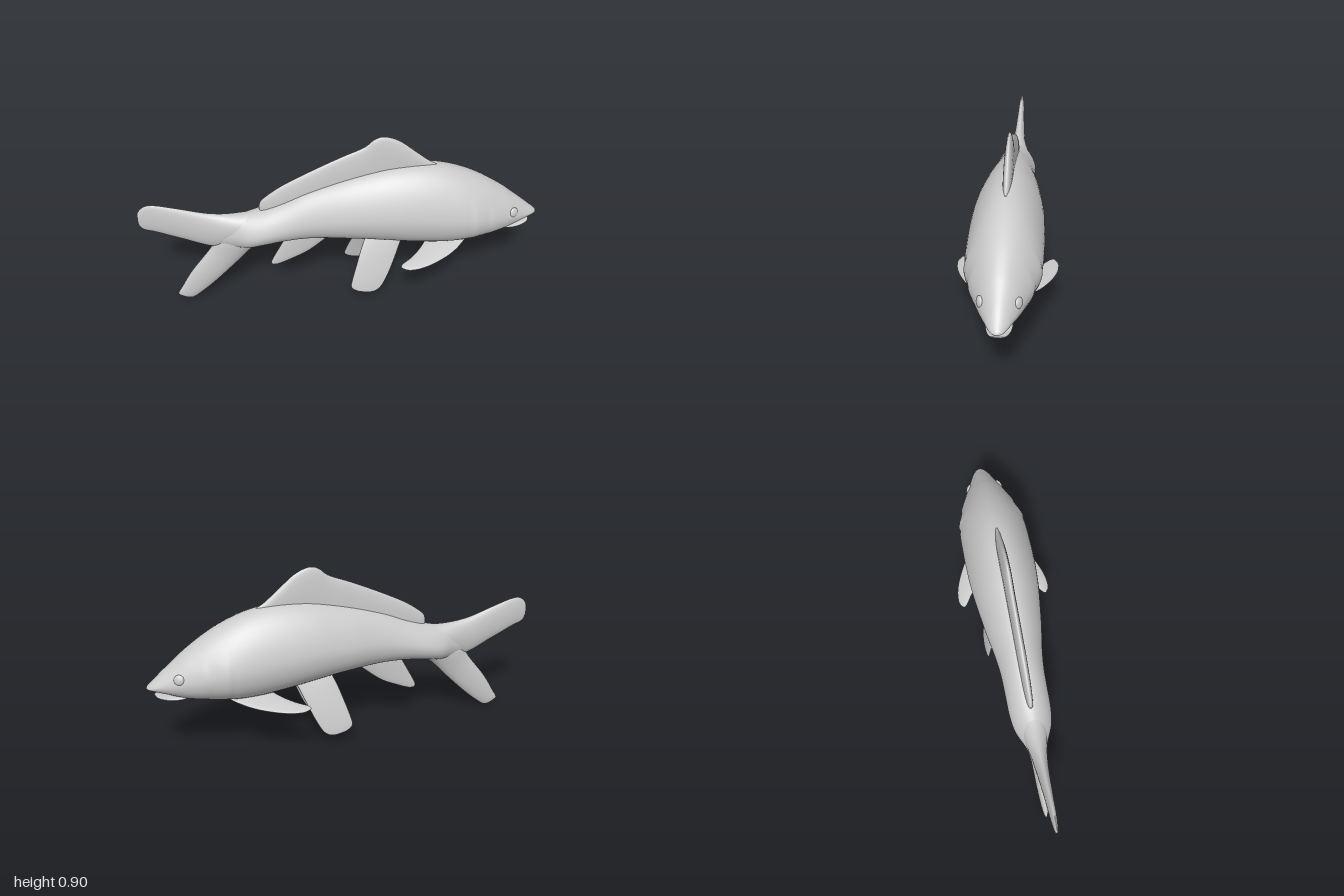
import * as THREE from 'three';

const grey = new THREE.MeshStandardMaterial({ color: 0xcccccc, roughness: 0.8, side: THREE.DoubleSide });
const smooth = THREE.MathUtils.smoothstep;

// Lofts oval sections between two edge curves A and B lying in the xy plane.
// Each station is [ax, ay, bx, by, half thickness].
function loft(name, stations, { steps = 40, sides = 28, shape, place } = {}) {
  const A = new THREE.CatmullRomCurve3(stations.map(s => new THREE.Vector3(s[0], s[1], s[4])), false, 'catmullrom', 0.5);
  const B = new THREE.CatmullRomCurve3(stations.map(s => new THREE.Vector3(s[2], s[3], 0)), false, 'catmullrom', 0.5);
  const pos = [], index = [], p = new THREE.Vector3();
  for (let i = 0; i <= steps; i++) {
    const a = A.getPoint(i / steps), b = B.getPoint(i / steps);
    for (let j = 0; j < sides; j++) {
      const th = (j / sides) * Math.PI * 2;
      let v = Math.cos(th), w = Math.sin(th);
      if (shape) [v, w] = shape(v, w, (a.x + b.x) / 2);
      const k = (1 + v) / 2;
      p.set(b.x + (a.x - b.x) * k, b.y + (a.y - b.y) * k, Math.max(a.z, 0) * w);
      if (place) place(p);
      pos.push(p.x, p.y, p.z);
    }
  }
  // keep faces outward whichever way the stations run
  const m = stations[stations.length >> 1], n = stations[(stations.length >> 1) - 1];
  const tx = m[0] + m[2] - n[0] - n[2], ty = m[1] + m[3] - n[1] - n[3];
  const outward = (m[0] - m[2]) * ty - (m[1] - m[3]) * tx > 0;
  for (let i = 0; i < steps; i++) for (let j = 0; j < sides; j++) {
    const q = i * sides + j, r = i * sides + (j + 1) % sides, s = q + sides, t = r + sides;
    if (outward) index.push(q, s, r, r, s, t);
    else index.push(q, r, s, r, t, s);
  }
  const g = new THREE.BufferGeometry();
  g.setAttribute('position', new THREE.Float32BufferAttribute(pos, 3));
  g.setIndex(index);
  g.computeVertexNormals();
  const mesh = new THREE.Mesh(g, grey);
  mesh.name = name;
  return mesh;
}

// Upright sections: [x, top, bottom, half width]
const upright = rows => rows.map(([x, top, bottom, w]) => [x, top, x, bottom, w]);

// Pear-shaped body section with raised gill-cover edges on the cheeks
function bodySection(v, w, x) {
  const cheek = smooth(0.9 - Math.abs(v + 0.1), 0.1, 0.6);
  const gill = smooth(x, 0.615, 0.635) * (1 - smooth(x, 0.64, 0.72))
    + 0.8 * smooth(x, 0.715, 0.735) * (1 - smooth(x, 0.74, 0.82));
  return [v - 0.12 * (1 - v * v), w * (1 - 0.12 * Math.max(v, 0)) * (1 + 0.04 * gill * cheek)];
}

export function createModel() {
  const fish = new THREE.Group();
  fish.name = 'fish';

  // Body from snout to tail root
  fish.add(loft('body', upright([
    [1, 0.405, 0.401, 0], [0.99, 0.418, 0.395, 0.022], [0.96, 0.443, 0.385, 0.043],
    [0.92, 0.478, 0.37, 0.062], [0.86, 0.527, 0.348, 0.09], [0.8, 0.575, 0.33, 0.115],
    [0.7, 0.64, 0.313, 0.15], [0.6, 0.69, 0.3, 0.172], [0.5, 0.725, 0.297, 0.176],
    [0.4, 0.742, 0.305, 0.176], [0.3, 0.744, 0.318, 0.173], [0.2, 0.735, 0.333, 0.165],
    [0.1, 0.715, 0.346, 0.152], [0, 0.69, 0.356, 0.138], [-0.1, 0.66, 0.364, 0.12],
    [-0.2, 0.625, 0.367, 0.108], [-0.3, 0.58, 0.363, 0.105], [-0.4, 0.543, 0.35, 0.103],
    [-0.48, 0.522, 0.335, 0.09], [-0.56, 0.51, 0.335, 0.055], [-0.64, 0.47, 0.35, 0.025],
    [-0.68, 0.41, 0.39, 0],
  ]), { steps: 168, sides: 48, shape: bodySection }));

  // Lower jaw, leaving the mouth slightly open
  fish.add(loft('lowerJaw', upright([
    [0.967, 0.368, 0.364, 0], [0.95, 0.366, 0.35, 0.034], [0.9, 0.357, 0.337, 0.053],
    [0.84, 0.365, 0.331, 0.058], [0.76, 0.38, 0.335, 0.04],
  ])));

  // Forked tail
  fish.add(loft('upperTailLobe', [
    [-0.36, 0.545, -0.36, 0.42, 0.05], [-0.5, 0.522, -0.5, 0.38, 0.06], [-0.65, 0.535, -0.64, 0.337, 0.036],
    [-0.8, 0.58, -0.8, 0.4, 0.023], [-0.9, 0.609, -0.92, 0.453, 0.017], [-0.955, 0.612, -0.978, 0.475, 0.012],
    [-0.993, 0.58, -0.998, 0.505, 0.007], [-1, 0.542, -1, 0.54, 0],
  ], { steps: 56 }));
  fish.add(loft('lowerTailLobe', [
    [-0.38, 0.375, -0.5, 0.5, 0.06], [-0.46, 0.315, -0.62, 0.4, 0.048], [-0.55, 0.22, -0.68, 0.31, 0.034],
    [-0.66, 0.11, -0.78, 0.18, 0.026], [-0.74, 0.04, -0.84, 0.08, 0.018], [-0.79, 0.006, -0.863, 0.04, 0.011],
    [-0.83, 0.012, -0.85, 0.022, 0],
  ], { steps: 56 }));

  // Dorsal fin: lower half of each section is buried in the back
  fish.add(loft('dorsalFin', upright([
    [0.47, 0.73, 0.71, 0.004], [0.42, 0.757, 0.69, 0.014], [0.35, 0.815, 0.66, 0.02],
    [0.27, 0.88, 0.62, 0.022], [0.2, 0.908, 0.58, 0.022], [0.15, 0.897, 0.57, 0.022],
    [0.1, 0.857, 0.57, 0.022], [0, 0.815, 0.55, 0.022], [-0.1, 0.77, 0.53, 0.022],
    [-0.2, 0.722, 0.51, 0.022], [-0.3, 0.67, 0.48, 0.02], [-0.37, 0.622, 0.48, 0.016],
    [-0.405, 0.59, 0.51, 0.01], [-0.415, 0.562, 0.55, 0],
  ]), { steps: 70 }));

  // Anal fin
  fish.add(loft('analFin', [
    [-0.02, 0.39, -0.26, 0.42, 0.014], [-0.08, 0.335, -0.29, 0.36, 0.014], [-0.18, 0.255, -0.33, 0.285, 0.011],
    [-0.27, 0.21, -0.362, 0.225, 0.008], [-0.33, 0.185, -0.373, 0.195, 0.005], [-0.36, 0.18, -0.365, 0.182, 0],
  ]));

  for (const s of [1, -1]) {
    const side = s > 0 ? 'left' : 'right';

    // Pelvic fins splay outward and curve down
    fish.add(loft(side + 'PelvicFin', [
      [0.3, 0.36, 0.12, 0.39, 0.012], [0.275, 0.3, 0.085, 0.31, 0.012], [0.245, 0.225, 0.055, 0.22, 0.01],
      [0.215, 0.155, 0.032, 0.145, 0.008], [0.18, 0.092, 0.025, 0.1, 0.006], [0.145, 0.066, 0.055, 0.075, 0.004],
      [0.11, 0.063, 0.1, 0.064, 0],
    ], { place: p => {
      const d = Math.max(0.4 - p.y, 0);
      p.z += s * (0.035 + 0.46 * d - 0.4 * d * d);
    } }));

    // Pectoral fins: outline drawn in x and outward distance, laid nearly flat
    fish.add(loft(side + 'PectoralFin', [
      [0.64, 0.05, 0.43, 0.04, 0.012], [0.59, 0.11, 0.38, 0.11, 0.011], [0.52, 0.168, 0.325, 0.165, 0.009],
      [0.43, 0.215, 0.275, 0.2, 0.007], [0.36, 0.238, 0.262, 0.22, 0.005], [0.31, 0.243, 0.28, 0.235, 0.002],
      [0.295, 0.241, 0.292, 0.24, 0],
    ], { place: p => {
      const u = p.y, n = p.z;
      p.set(p.x, 0.333 - 0.24 * u - s * n, s * u);
    } }));

    // Eyes, flattened against the cheeks
    const eye = new THREE.Mesh(new THREE.SphereGeometry(0.025, 24, 16), grey);
    eye.name = side + 'Eye';
    eye.scale.z = 0.45;
    eye.position.set(0.855, 0.46, s * 0.082);
    eye.rotation.set(-s * 0.25, s * 0.45, 0);
    fish.add(eye);
  }
  return fish;
}
